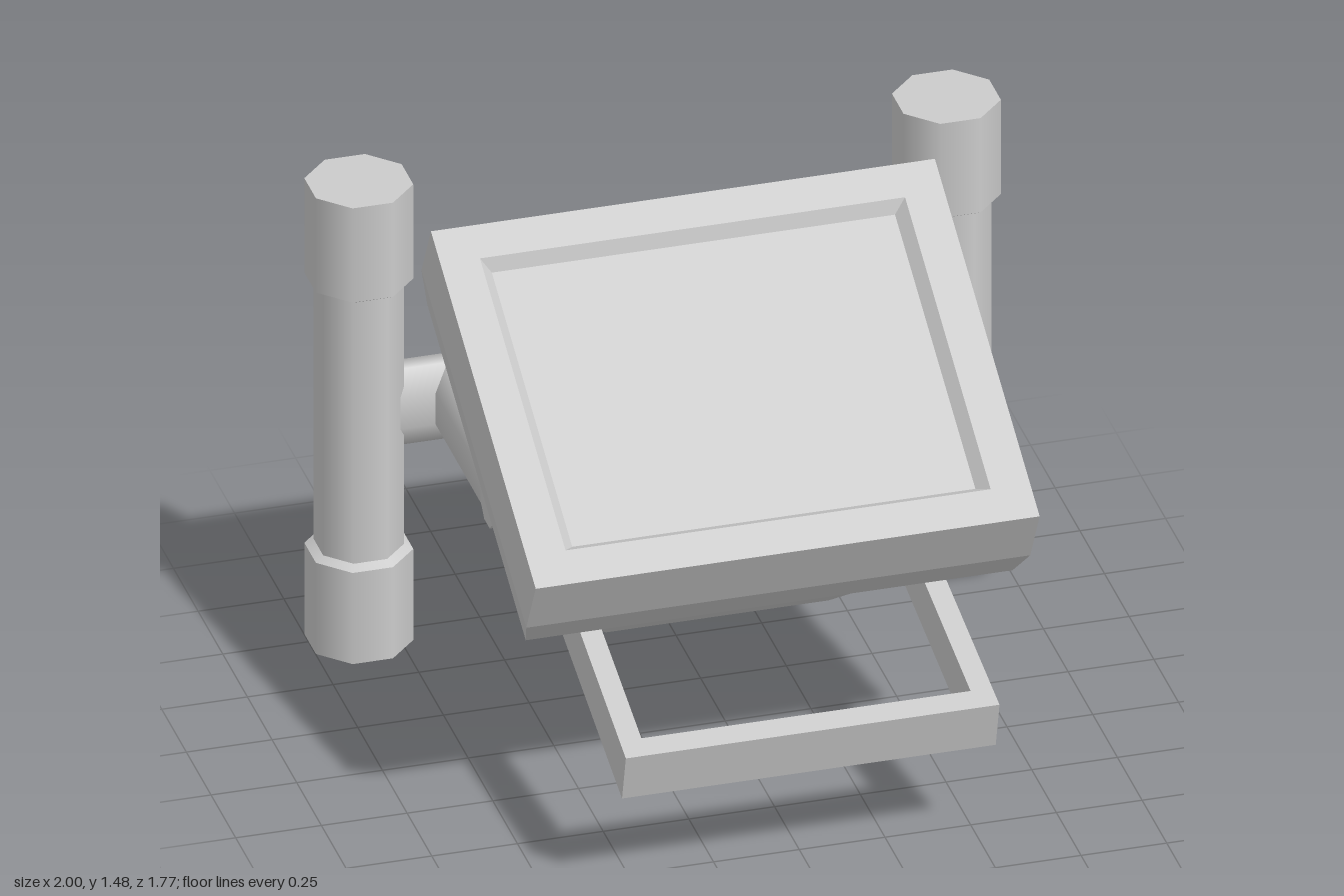
import * as THREE from 'three';

const material = new THREE.MeshStandardMaterial({ color: 0xcccccc });
const flatMaterial = new THREE.MeshStandardMaterial({ color: 0xcccccc, flatShading: true });

function add(parent, name, geometry, mat = material) {
  const mesh = new THREE.Mesh(geometry, mat);
  mesh.name = name;
  parent.add(mesh);
  return mesh;
}

// Eight-sided prism standing on y, flats facing the axes; radii are to the flats.
function octagon(top, bottom, height, open = false) {
  const k = 1 / Math.cos(Math.PI / 8);
  return new THREE.CylinderGeometry(top * k, bottom * k, height, 8, 1, open).rotateY(Math.PI / 8);
}

// Rectangular cross-sections [halfX, halfZ, y], joined from the top cap to the bottom cap.
function rectLoft(sections) {
  const rings = sections.map(([x, z, y]) => [[x, y, z], [x, y, -z], [-x, y, -z], [-x, y, z]]);
  const positions = [];
  const quad = (a, b, c, d) => positions.push(...a, ...b, ...c, ...a, ...c, ...d);
  quad(...rings[0]);
  for (let i = 0; i < rings.length - 1; i++) {
    for (let k = 0; k < 4; k++) {
      const n = (k + 1) % 4;
      quad(rings[i][k], rings[i + 1][k], rings[i + 1][n], rings[i][n]);
    }
  }
  quad(...[...rings[rings.length - 1]].reverse());
  const geometry = new THREE.BufferGeometry();
  geometry.setAttribute('position', new THREE.Float32BufferAttribute(positions, 3));
  geometry.computeVertexNormals();
  return geometry;
}

// Upright post with a thicker sleeve at each end.
function createPost(side) {
  const post = new THREE.Group();
  post.name = side > 0 ? 'leftPost' : 'rightPost';
  post.position.set(side * 0.857, 0, -0.737);
  add(post, 'postShaft', octagon(0.118, 0.118, 1.0)).position.y = 0.7375;
  add(post, 'lowerSleeve', octagon(0.142, 0.142, 0.295)).position.y = 0.1475;
  add(post, 'lowerCollar', octagon(0.118, 0.142, 0.015, true)).position.y = 0.3025;
  add(post, 'upperSleeve', octagon(0.142, 0.142, 0.305)).position.y = 1.3225;
  add(post, 'upperCollar', octagon(0.142, 0.118, 0.015, true)).position.y = 1.1625;
  return post;
}

// Support arm running forward from the crossbar, with a pivot bolt outside.
function createArm(side) {
  const arm = new THREE.Group();
  arm.name = side > 0 ? 'leftArm' : 'rightArm';
  arm.position.set(side * 0.574, 0.741, 0);
  const squash = 0.077 / 0.1225;
  add(arm, 'armBeam', octagon(0.1225, 0.1225, 0.665)
    .rotateX(Math.PI / 2).scale(squash, 1, 1)).position.z = -0.3875;
  add(arm, 'armTip', octagon(0.075, 0.1225, 0.06)
    .rotateX(Math.PI / 2).scale(squash, 1, 1)).position.z = -0.025;
  add(arm, 'pivotBolt', octagon(0.067, 0.067, 0.05)
    .rotateZ(Math.PI / 2), flatMaterial).position.set(side * 0.06, 0, -0.125);
  return arm;
}

// Tilted screen housing with a recessed panel, and the tapering box beneath it.
function createScreen() {
  const screen = new THREE.Group();
  screen.name = 'screen';
  screen.position.set(0, 1.18, 0.1015);
  screen.rotation.x = THREE.MathUtils.degToRad(28.1);
  add(screen, 'screenHousing', rectLoft([
    [0.588, 0.462, -0.036],
    [0.62, 0.492, 0],
    [0.735, 0.6025, 0],
    [0.735, 0.6025, -0.203],
    [0.71, 0.566, -0.331],
    [0.63, 0.512, -0.387],
  ]), flatMaterial);
  add(screen, 'rearBox', rectLoft([
    [0.61, 0.505, -0.38],
    [0.475, 0.39, -0.575],
    [0.325, 0.257, -0.867],
  ]), flatMaterial);
  return screen;
}

// U-shaped handle, drawn flat and extruded, then tilted down to the front.
function createHandle() {
  const depth = 0.156, length = 0.843;
  const shape = new THREE.Shape([
    [-0.527, 0], [-0.545, -length], [0.545, -length], [0.527, 0],
    [0.465, 0], [0.48, -length + 0.07], [-0.48, -length + 0.07], [-0.465, 0],
  ].map(([x, y]) => new THREE.Vector2(x, y)));
  const geometry = new THREE.ExtrudeGeometry(shape, { depth, bevelEnabled: false });
  geometry.translate(0, 0, -depth / 2).rotateX(-Math.PI / 2);
  const group = new THREE.Group();
  group.name = 'handle';
  group.position.set(0, 0.59, 0.05);
  group.rotation.x = THREE.MathUtils.degToRad(14.3);
  add(group, 'handleFrame', geometry, flatMaterial);
  return group;
}

export function createModel() {
  const model = new THREE.Group();
  model.name = 'screenOnStand';

  for (const side of [-1, 1]) model.add(createPost(side), createArm(side));

  // Flattened crossbar between the posts
  add(model, 'crossbar', octagon(0.1225, 0.1225, 1.66)
    .rotateZ(Math.PI / 2).scale(1, 1, 0.52)).position.set(0, 0.741, -0.737);

  model.add(createScreen(), createHandle());
  return model;
}
